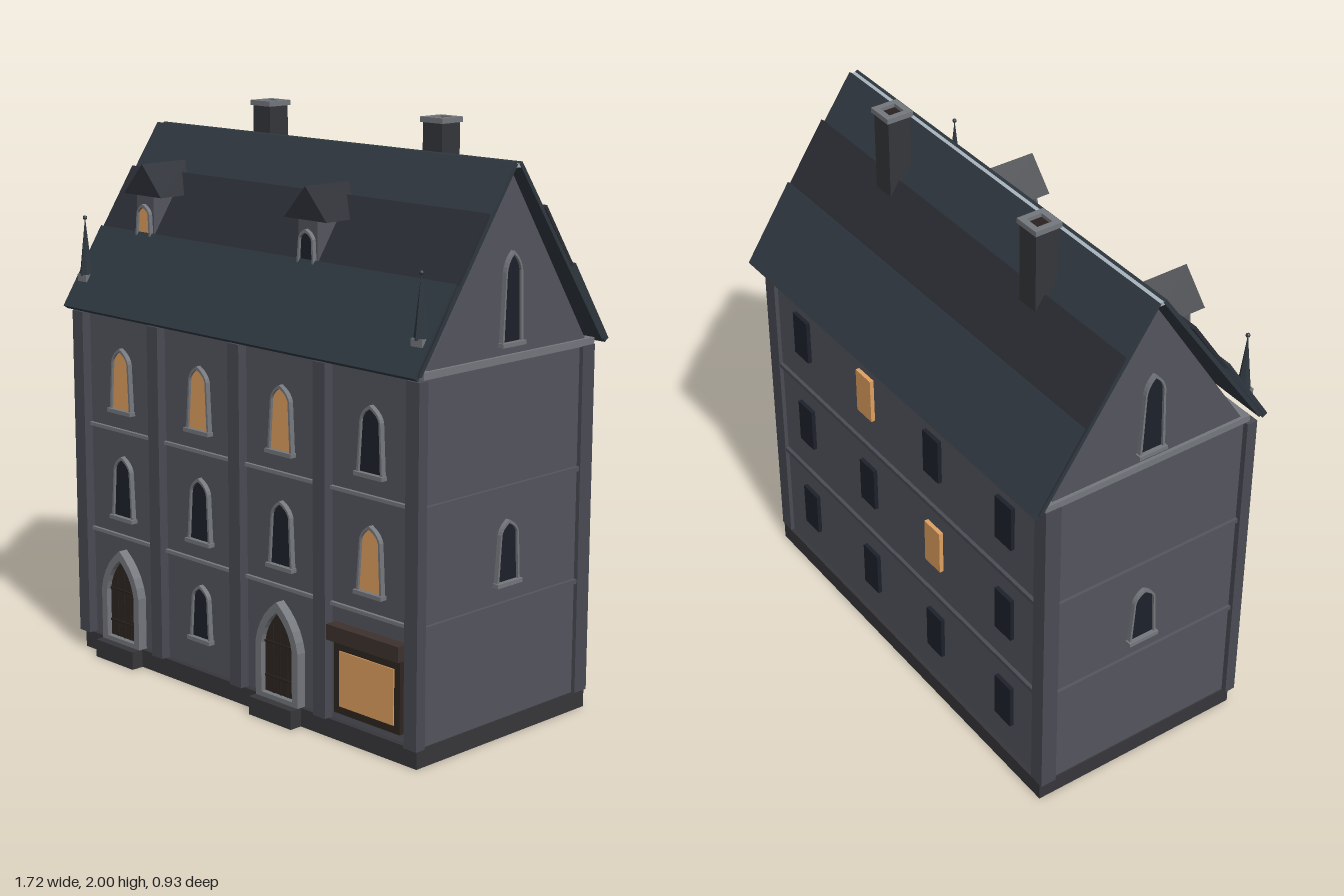
import * as THREE from 'three';

const mat = (color, side = THREE.FrontSide) =>
  new THREE.MeshStandardMaterial({ color, side, flatShading: true, roughness: 0.9 });
const M = {
  wall: mat(0x54555e), pier: mat(0x4a4b54), stone: mat(0x74777c), plinth: mat(0x37373b),
  slate: mat(0x2f3840), slateDark: mat(0x2a2d34), chimney: mat(0x35363a),
  glass: mat(0x1d212b), lit: mat(0xe0a060), door: mat(0x2e2521), wood: mat(0x3d312d),
  soot: mat(0x2a2220), ridge: mat(0xa9b4bd),
};

function add(parent, name, geometry, material, x = 0, y = 0, z = 0) {
  const mesh = new THREE.Mesh(geometry, material);
  mesh.name = name;
  mesh.position.set(x, y, z);
  parent.add(mesh);
  return mesh;
}

// Box given by its lower and upper bounds on each axis
function box(parent, name, material, x0, x1, y0, y1, z0, z1) {
  return add(parent, name, new THREE.BoxGeometry(x1 - x0, y1 - y0, z1 - z0), material,
    (x0 + x1) / 2, (y0 + y1) / 2, (z0 + z1) / 2);
}

const extrude = (shape, depth) =>
  new THREE.ExtrudeGeometry(shape, { depth, bevelEnabled: false, curveSegments: 5 });

const polygon = (points) => new THREE.Shape(points.map(([x, y]) => new THREE.Vector2(x, y)));

// Pointed arch outline standing on y = 0; taper leans the jambs inwards
function lancet(halfWidth, height, spring, taper = [1, 1], inset = 0) {
  const w = halfWidth - inset, h = height - inset * 1.3;
  const l = -w * taper[0], r = w * taper[1];
  const s = new THREE.Shape();
  s.moveTo(-w, inset * 0.6);
  s.lineTo(w, inset * 0.6);
  s.lineTo(r, spring);
  s.quadraticCurveTo(r * 0.85, spring + (h - spring) * 0.6, 0, h);
  s.quadraticCurveTo(l * 0.85, spring + (h - spring) * 0.6, l, spring);
  s.closePath();
  return s;
}

// Pointed opening with a raised surround, built facing +z
function archOpening(parent, name, fill, o) {
  const g = new THREE.Group();
  g.name = name;
  const outer = lancet(o.halfWidth, o.height, o.spring, o.taper);
  const inner = lancet(o.halfWidth, o.height, o.spring, o.taper, o.border);
  outer.holes.push(inner);
  add(g, 'surround', extrude(outer, o.depth), M.stone);
  add(g, 'panel', extrude(inner, o.depth * 0.5), fill);
  parent.add(g);
  return g;
}

function archWindow(parent, x, y, z, height, isLit, halfWidth = 0.058, rotation = 0) {
  const g = archOpening(parent, 'archedWindow', isLit ? M.lit : M.glass, {
    halfWidth, height, spring: height * 0.78, taper: [0.74, 0.84], border: 0.009, depth: 0.018,
  });
  const w = halfWidth + 0.005;
  box(g, 'sill', M.stone, -w, w, -0.005, 0.009, 0, 0.026);
  g.position.set(x, y, z);
  g.rotation.y = rotation;
}

function addWalls(g) {
  box(g, 'plinth', M.plinth, -0.84, 0.84, 0, 0.065, -0.41, 0.415);
  box(g, 'walls', M.wall, -0.835, 0.835, 0.065, 1.27, -0.395, 0.395);
  for (const x of [-0.828, -0.417, 0, 0.41, 0.824])
    box(g, 'frontPilaster', M.pier, x - 0.028, x + 0.028, 0.065, 1.26, 0.39, 0.43);
  for (const s of [-1, 1])
    add(g, 'rearCornerPier', new THREE.BoxGeometry(0.06, 1.2, 0.06), M.pier, s * 0.82, 0.665, -0.38);
  for (const y of [0.46, 0.85]) {
    box(g, 'stringCourse', M.stone, -0.8, 0.8, y - 0.006, y + 0.006, 0.39, 0.407);
    box(g, 'rearStringCourse', M.pier, -0.8, 0.8, y - 0.008, y + 0.008, -0.408, -0.39);
    for (const s of [-1, 1])
      box(g, 'sideStringCourse', M.wall, s * 0.838 - 0.008, s * 0.838 + 0.008, y - 0.008, y + 0.008, -0.35, 0.395);
  }
  box(g, 'cornice', M.stone, -0.847, 0.847, 1.263, 1.287, -0.41, 0.405);
  const gable = extrude(polygon([[-0.38, 1.28], [0.38, 1.28], [0, 1.865]]), 1.67);
  add(g, 'gable', gable.rotateY(Math.PI / 2), M.wall, -0.835);
}

// Overlapping slate courses: a thin slab from an upper to a lower edge, on either slope
function slab(g, name, material, side, [z0, y0], [z1, y1], thickness) {
  const length = Math.hypot(z1 - z0, y1 - y0);
  const nz = (y0 - y1) / length, ny = (z1 - z0) / length;
  const mesh = add(g, name, new THREE.BoxGeometry(1.724, thickness, length), material, 0,
    (y0 + y1) / 2 - ny * thickness / 2, side * ((z0 + z1) / 2 - nz * thickness / 2));
  mesh.rotation.x = side * Math.atan2(y0 - y1, z1 - z0);
}

function addRoof(g) {
  for (const s of [-1, 1]) {
    slab(g, 'upperSlates', M.slate, s, [0.016, 1.9], [0.443, 1.285], 0.014);
    slab(g, 'middleSlates', M.slateDark, s, [0.138, 1.752], [0.452, 1.285], 0.012);
    slab(g, 'lowerSlates', M.slate, s, [0.287, 1.55], [0.465, 1.28], 0.022);
  }
  box(g, 'ridgeStrip', M.ridge, -0.86, 0.86, 1.882, 1.894, -0.016, 0.016);
}

function addDormer(g, x, isLit) {
  const d = new THREE.Group();
  d.name = 'dormer';
  d.position.x = x;
  box(d, 'dormerBody', M.wall, -0.045, 0.045, 1.5, 1.69, 0.1, 0.28);
  add(d, 'dormerRoof', extrude(polygon([[-0.1, 1.68], [0.1, 1.68], [0, 1.79]]), 0.22), M.slateDark, 0, 0, 0.073);
  archWindow(d, 0, 1.5, 0.277, 0.15, isLit, 0.043);
  g.add(d);
}

function addChimney(g, x) {
  const c = new THREE.Group();
  c.name = 'chimney';
  c.position.set(x, 0, -0.13);
  box(c, 'stack', M.chimney, -0.043, 0.043, 1.58, 1.985, -0.043, 0.043);
  const square = (r) => polygon([[-r, -r], [r, -r], [r, r], [-r, r]]);
  const ring = square(0.05);
  ring.holes.push(square(0.028));
  add(c, 'cap', extrude(ring, 0.018).rotateX(-Math.PI / 2), M.stone, 0, 1.982);
  box(c, 'flue', M.soot, -0.028, 0.028, 1.97, 1.987, -0.028, 0.028);
  g.add(c);
}

function addPinnacle(g, x) {
  const p = new THREE.Group();
  p.name = 'pinnacle';
  p.position.set(x, 0, 0.392);
  box(p, 'pinnacleBase', M.stone, -0.024, 0.024, 1.365, 1.39, -0.02, 0.02);
  add(p, 'spire', new THREE.ConeGeometry(0.024, 0.21, 6), M.slate, 0, 1.49);
  add(p, 'finial', new THREE.SphereGeometry(0.008, 8, 6), M.slate, 0, 1.592);
  g.add(p);
}

function addDoor(g, x) {
  const d = archOpening(g, 'door', M.door, {
    halfWidth: 0.103, height: 0.348, spring: 0.19, border: 0.028, depth: 0.04,
  });
  d.position.set(x, 0.065, 0.39);
  box(d, 'doorPanelBase', M.door, -0.075, 0.075, 0, 0.03, 0, 0.02);
  for (const px of [-0.035, 0, 0.035])
    box(d, 'plankJoint', M.soot, px - 0.002, px + 0.002, 0.01, 0.26, 0.015, 0.023);
  for (const y of [0.07, 0.19])
    box(d, 'strap', M.soot, -0.073, 0.073, y, y + 0.008, 0.015, 0.025);
  box(g, 'doorStep', M.plinth, x - 0.103, x + 0.103, 0, 0.065, 0.4, 0.462);
}

function addShopFront(g) {
  box(g, 'shopFrame', M.door, 0.465, 0.765, 0.095, 0.345, 0.39, 0.415);
  box(g, 'shopPane', M.lit, 0.493, 0.74, 0.122, 0.312, 0.4, 0.419);
  box(g, 'shopFascia', M.wood, 0.455, 0.78, 0.347, 0.4, 0.39, 0.44);
}

export function createModel() {
  const g = new THREE.Group();
  g.name = 'townHouse';
  addWalls(g);
  addRoof(g);

  const columns = [-0.62, -0.205, 0.205, 0.62];
  columns.forEach((x, i) => {
    // Front windows
    archWindow(g, x, 0.92, 0.395, 0.23, i < 3);
    archWindow(g, x, 0.528, 0.395, 0.23, i === 3);
    // Plain rear windows
    [0.285, 0.68, 1.07].forEach((y, row) => {
      const isLit = (row === 2 && i === 2) || (row === 1 && i === 1);
      add(g, 'rearWindow', new THREE.BoxGeometry(0.09, 0.17, 0.03), isLit ? M.lit : M.glass, x, y, -0.395);
    });
  });
  archWindow(g, -0.205, 0.175, 0.395, 0.2, false, 0.053);

  // Gable end windows
  for (const s of [-1, 1]) {
    archWindow(g, s * 0.833, 0.53, 0, 0.215, false, 0.055, s * Math.PI / 2);
    archWindow(g, s * 0.833, 1.32, 0, 0.3, false, 0.05, s * Math.PI / 2);
    addPinnacle(g, s * 0.82);
  }

  for (const x of [-0.62, 0.205]) {
    addDoor(g, x);
    addDormer(g, x, x < 0);
  }
  addShopFront(g);
  for (const x of [-0.415, 0.41]) addChimney(g, x);
  return g;
}
